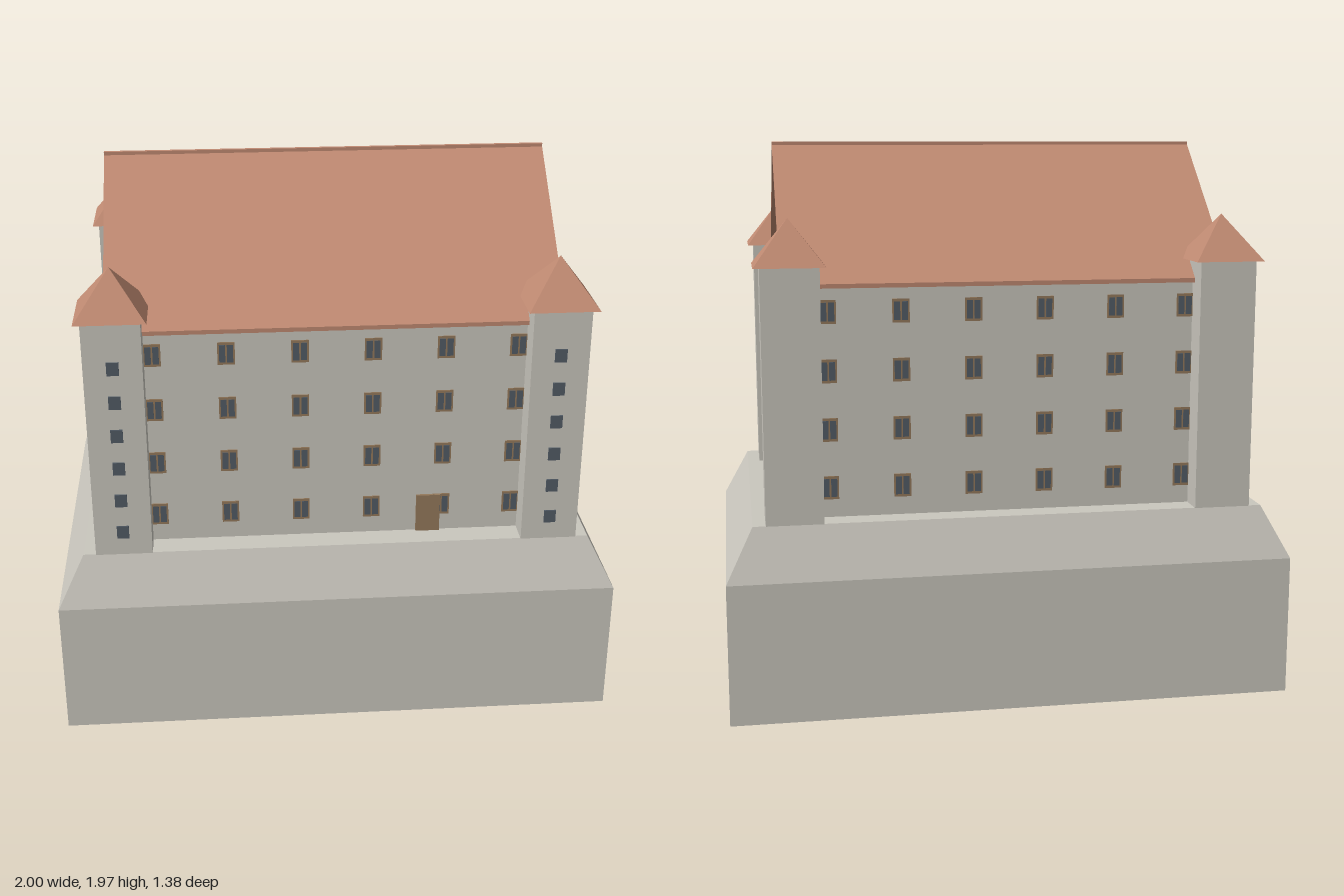
import * as THREE from 'three';

const mat = (name, color) => Object.assign(new THREE.MeshStandardMaterial({ color }), { name });

export function createModel() {
  const stone = mat('stone', 0xcac7be);
  const tile = mat('roof tile', 0xc08a72);
  const wood = mat('wood', 0x957a5c);
  const glass = mat('window glass', 0x525c66);

  const model = new THREE.Group();
  model.name = 'castle';

  const add = (parent, name, geometry, material, x = 0, y = 0, z = 0) => {
    const mesh = new THREE.Mesh(geometry, material);
    mesh.name = name;
    mesh.position.set(x, y, z);
    parent.add(mesh);
    return mesh;
  };
  const box = (w, h, d) => new THREE.BoxGeometry(w, h, d);

  // Profile in z and y, extruded along x and centred
  const extrudeAlongX = (points, length) => {
    const shape = new THREE.Shape(points.map(([a, b]) => new THREE.Vector2(a, b)));
    return new THREE.ExtrudeGeometry(shape, { depth: length, bevelEnabled: false })
      .translate(0, 0, -length / 2)
      .rotateY(Math.PI / 2);
  };

  // Foundation: a block with a battered upper band
  const GROUND = 0.685;
  add(model, 'foundation', box(2, 0.5, 1.375), stone, 0, 0.25, 0);
  let slope = box(2, GROUND - 0.5, 1.375);
  const p = slope.attributes.position;
  for (let i = 0; i < p.count; i++) {
    if (p.getY(i) > 0) {
      p.setX(i, Math.sign(p.getX(i)) * 0.905);
      p.setZ(i, Math.sign(p.getZ(i)) * 0.62);
    }
  }
  slope = slope.toNonIndexed();
  slope.computeVertexNormals();
  add(model, 'foundationSlope', slope, stone, 0, (GROUND + 0.5) / 2, 0);

  // Main hall with gabled ends
  const HX = 0.76, HZ = 0.53;
  add(model, 'hall', extrudeAlongX([
    [-HZ, GROUND], [HZ, GROUND], [HZ, 1.507], [0, 1.955], [-HZ, 1.507],
  ], HX * 2), stone);

  // Thin pitched roof and ridge
  add(model, 'hallRoof', extrudeAlongX([
    [-0.555, 1.487], [0, 1.952], [0.555, 1.487], [0.555, 1.502], [0, 1.967], [-0.555, 1.502],
  ], 1.58), tile);
  add(model, 'ridge', box(1.58, 0.012, 0.014), tile, 0, 1.967, 0);

  // Double-pane window facing +z
  const frameGeo = box(0.06, 0.082, 0.008);
  const paneGeo = box(0.021, 0.064, 0.004);
  const addWindow = (parent, x, y) => {
    const win = new THREE.Group();
    win.name = 'window';
    win.position.set(x, y, 0);
    add(win, 'frame', frameGeo, wood);
    for (const s of [-1, 1]) add(win, 'pane', paneGeo, glass, s * 0.0135, 0, 0.004);
    parent.add(win);
  };

  // One window grid per wall
  const walls = [
    ['front', 0, HZ, 6, 0.253],
    ['left', Math.PI / 2, HX, 4, 0.262],
    ['back', Math.PI, HZ, 6, 0.253],
    ['right', -Math.PI / 2, HX, 4, 0.262],
  ];
  for (const [side, angle, distance, columns, spacing] of walls) {
    const wall = new THREE.Group();
    wall.name = side + 'Windows';
    wall.rotation.y = angle;
    wall.position.set(Math.sin(angle) * distance, 0, Math.cos(angle) * distance);
    for (let c = 0; c < columns; c++)
      for (let r = 0; r < 4; r++)
        addWindow(wall, (c - (columns - 1) / 2) * spacing, 0.79 + r * 0.205);
    model.add(wall);
  }

  // Front door
  add(model, 'door', box(0.086, 0.145, 0.02), wood, 0.332, GROUND + 0.0725, HZ);

  // Corner towers with pyramid roofs and slit windows on their front faces
  const towerTop = 1.565;
  const towerGeo = box(0.2, towerTop - GROUND, 0.2);
  const coneGeo = new THREE.ConeGeometry(0.122 * Math.SQRT2, 0.16, 4)
    .rotateY(Math.PI / 4).toNonIndexed();
  coneGeo.computeVertexNormals();
  const slitGeo = box(0.042, 0.048, 0.008);
  for (const sx of [-1, 1]) {
    for (const sz of [-1, 1]) {
      const tower = new THREE.Group();
      tower.name = (sz > 0 ? 'front' : 'back') + (sx > 0 ? 'Left' : 'Right') + 'Tower';
      tower.position.set(sx * 0.76, 0, sz * 0.525);
      add(tower, 'shaft', towerGeo, stone, 0, (towerTop + GROUND) / 2, 0);
      add(tower, 'towerRoof', coneGeo, tile, 0, towerTop + 0.08, 0);
      for (let i = 0; i < 6; i++) add(tower, 'slit', slitGeo, glass, 0, 0.775 + i * 0.125, 0.101);
      model.add(tower);
    }
  }

  return model;
}
